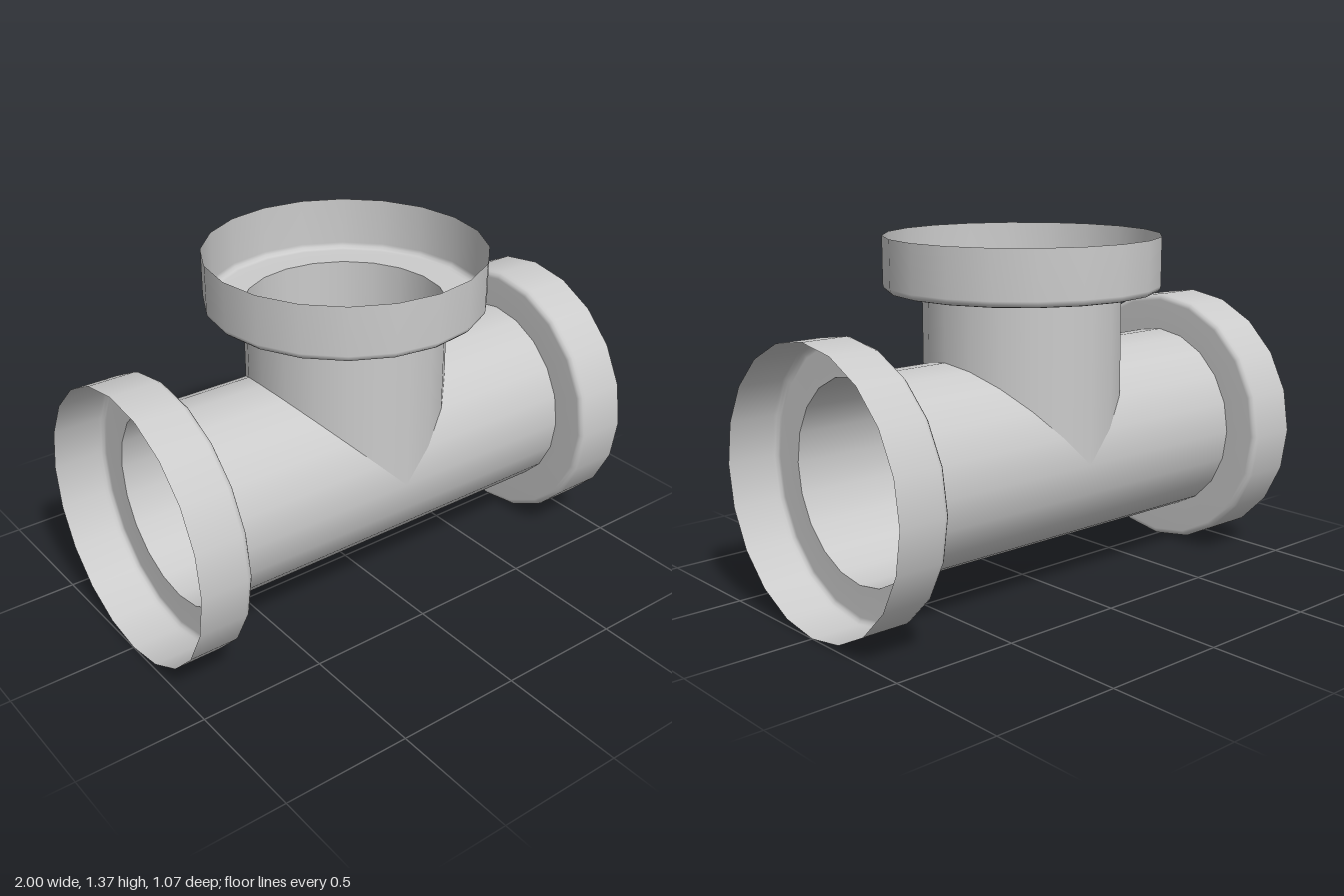
import * as THREE from 'three';

const SIDES = 20;
const PIPE_R = 0.384;
const COLLAR_R = 0.533;
const COLLAR_LEN = 0.21;

const material = new THREE.MeshStandardMaterial({ color: 0xcccccc, side: THREE.DoubleSide });

// Thin-walled pipe along +y; its lower end is mitred by cut(x)
function pipeGeometry(length, cut) {
  const geometry = new THREE.CylinderGeometry(PIPE_R, PIPE_R, length, SIDES, 1, true);
  geometry.translate(0, length / 2, 0);
  const pos = geometry.attributes.position;
  for (let i = 0; i < pos.count; i++) {
    if (pos.getY(i) < length / 2) pos.setY(i, cut(pos.getX(i)));
  }
  return geometry;
}

// Open socket: flat shoulder, small rounded corner, straight wall
function collarGeometry() {
  const bevel = 0.025;
  const points = [new THREE.Vector2(PIPE_R, 0)];
  for (let i = 0; i <= 3; i++) {
    const a = (i / 3) * Math.PI / 2;
    points.push(new THREE.Vector2(
      COLLAR_R - bevel + bevel * Math.sin(a),
      bevel - bevel * Math.cos(a)
    ));
  }
  points.push(new THREE.Vector2(COLLAR_R, COLLAR_LEN));
  return new THREE.LatheGeometry(points, SIDES);
}

// One arm of the tee: mitred pipe ending in a collar
function makeArm(name, reach, angle, cut) {
  const arm = new THREE.Group();
  arm.name = name;
  const shoulder = reach - COLLAR_LEN;
  const pipe = new THREE.Mesh(pipeGeometry(shoulder, cut), material);
  pipe.name = name + 'Pipe';
  const collar = new THREE.Mesh(collarGeometry(), material);
  collar.name = name + 'Collar';
  collar.position.y = shoulder;
  arm.add(pipe, collar);
  arm.position.y = COLLAR_R;
  arm.rotation.z = angle;
  return arm;
}

export function createModel() {
  const group = new THREE.Group();
  group.name = 'pipeTee';
  // Equal radii meet along two 45 degree planes, leaving the inside open
  group.add(
    makeArm('leftArm', 1, -Math.PI / 2, x => Math.max(0, -x)),
    makeArm('rightArm', 1, Math.PI / 2, x => Math.max(0, x)),
    makeArm('branch', 0.835, 0, x => Math.abs(x))
  );
  return group;
}
